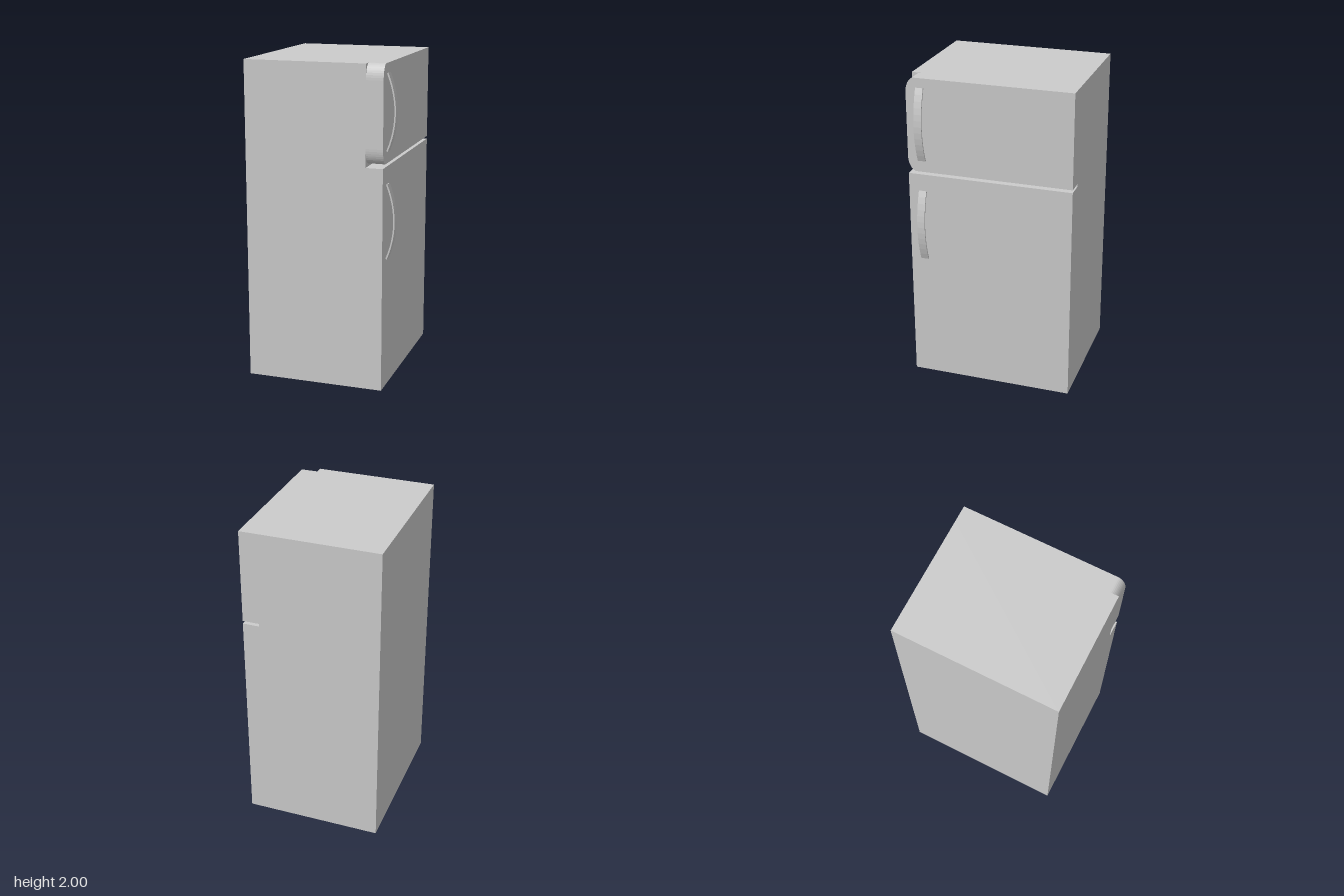
import * as THREE from 'three';

const BODY_LEFT = -0.462, DOOR_BACK = 0.3, DOOR_FRONT = 0.406, HALF_Z = 0.52;

export function createModel() {
  const group = new THREE.Group();
  const material = new THREE.MeshStandardMaterial({ color: 0xcccccc, flatShading: true });

  const add = (name, geometry) => {
    const mesh = new THREE.Mesh(geometry, material);
    mesh.name = name;
    group.add(mesh);
    return mesh;
  };

  // Box given by its limits in x and y, full depth in z
  const slab = (name, x0, x1, y0, y1) => {
    const mesh = add(name, new THREE.BoxGeometry(x1 - x0, y1 - y0, 2 * HALF_Z));
    mesh.position.set((x0 + x1) / 2, (y0 + y1) / 2, 0);
  };

  // Cabinet and lower door
  slab('cabinet', BODY_LEFT, DOOR_BACK, 0, 2);
  slab('fridgeDoor', DOOR_BACK, DOOR_FRONT, 0, 1.39);

  // Upper door: side outline with elliptical corners at the handle edge.
  // Shape x runs along -z, and the extrusion is turned to run along +x.
  const y0 = 1.408, y1 = 2, rz = 0.056, ry = 0.095;
  const outline = new THREE.Shape();
  outline.moveTo(HALF_Z, y0);
  outline.lineTo(HALF_Z, y1);
  outline.lineTo(-HALF_Z + rz, y1);
  outline.absellipse(-HALF_Z + rz, y1 - ry, rz, ry, Math.PI / 2, Math.PI, false, 0);
  outline.lineTo(-HALF_Z, y0 + ry);
  outline.absellipse(-HALF_Z + rz, y0 + ry, rz, ry, Math.PI, Math.PI * 1.5, false, 0);
  outline.closePath();
  const doorGeometry = new THREE.ExtrudeGeometry(outline, {
    depth: DOOR_FRONT - DOOR_BACK, bevelEnabled: false, curveSegments: 5,
  });
  doorGeometry.rotateY(Math.PI / 2);
  add('freezerDoor', doorGeometry).position.x = DOOR_BACK;

  // Bowed strip handles: outer arc up, inner arc back down
  const half = 0.231, bow = 0.047, thickness = 0.009, steps = 12;
  const outer = [], inner = [];
  for (let i = 0; i <= steps; i++) {
    const t = (i / steps) * 2 - 1;
    const x = bow * (1 - t * t);
    outer.push(new THREE.Vector2(x + thickness, t * half));
    inner.unshift(new THREE.Vector2(x, t * (half - 0.003)));
  }
  const handleGeometry = new THREE.ExtrudeGeometry(
    new THREE.Shape([...outer, ...inner]), { depth: 0.049, bevelEnabled: false });
  for (const [name, y] of [['freezerHandle', 1.712], ['fridgeHandle', 1.054]]) {
    add(name, handleGeometry).position.set(DOOR_FRONT, y, 0.404);
  }

  return group;
}
